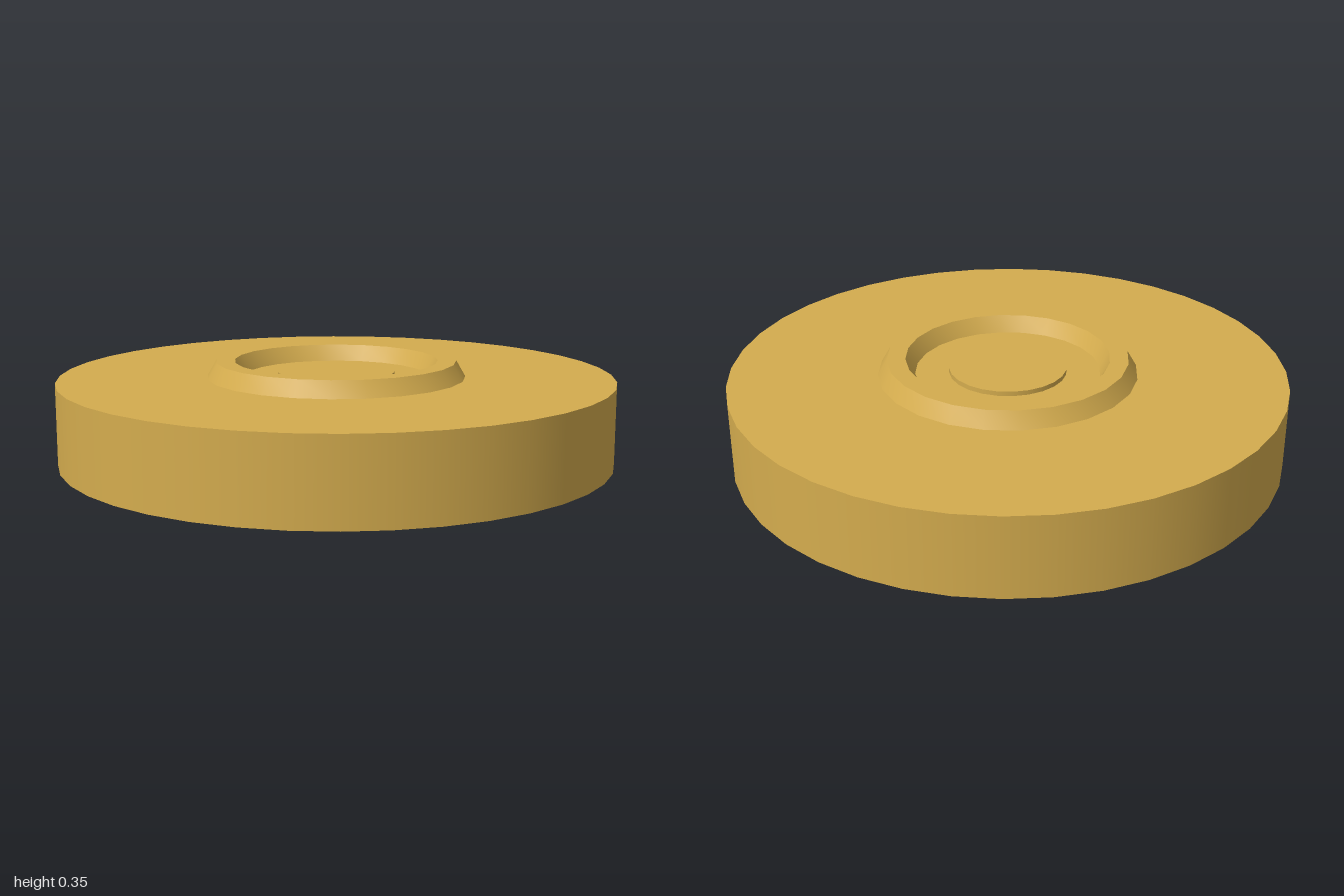
import * as THREE from 'three';
import { toCreasedNormals } from 'three/addons/utils/BufferGeometryUtils.js';

const BASE_TOP = 0.294;

export function createModel() {
  const model = new THREE.Group();
  const brass = new THREE.MeshStandardMaterial({ color: 0xd4ac4e });
  brass.name = 'brass';

  const add = (name, geometry, y) => {
    const mesh = new THREE.Mesh(geometry, brass);
    mesh.name = name;
    mesh.position.y = y;
    model.add(mesh);
  };

  // Wide flat base
  add('baseDisc', new THREE.CylinderGeometry(1, 1, BASE_TOP, 40), BASE_TOP / 2);

  // Raised rim: upper half of a hexagonal ring, bevelled on both sides
  const radius = 0.4, tube = 0.0667;
  const profile = [];
  for (let i = 0; i <= 3; i++) {
    const a = (i * Math.PI) / 3;
    profile.push(new THREE.Vector2(radius + tube * Math.cos(a), tube * Math.sin(a)));
  }
  const rim = toCreasedNormals(new THREE.LatheGeometry(profile, 24), Math.PI / 5);
  add('raisedRim', rim, BASE_TOP);

  // Low button in the middle of the rim
  const buttonHeight = 0.017;
  add('centreButton', new THREE.CylinderGeometry(0.212, 0.212, buttonHeight, 24), BASE_TOP + buttonHeight / 2);

  return model;
}
